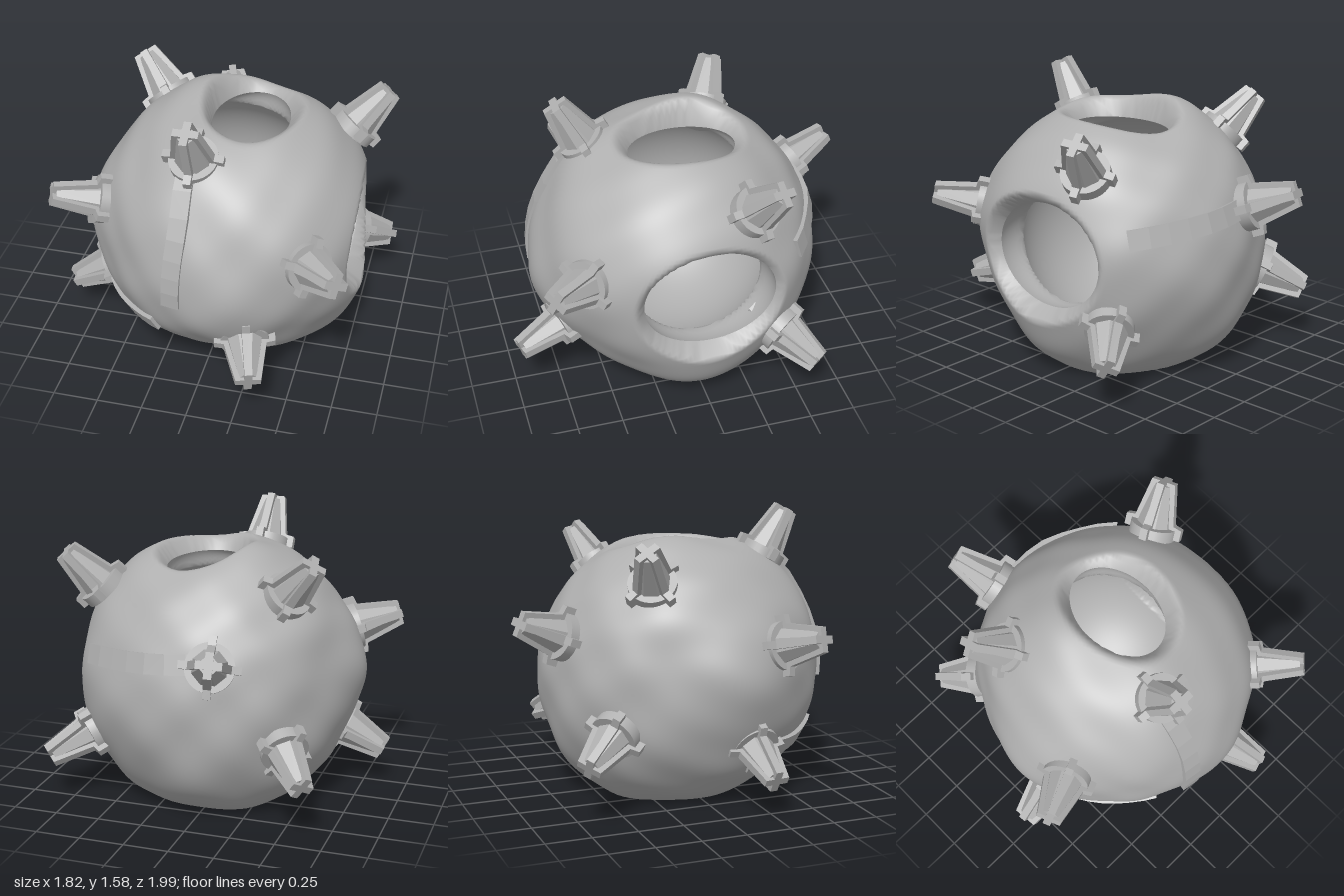
import * as THREE from 'three';
import { mergeVertices } from 'three/addons/utils/BufferGeometryUtils.js';

const V = (x, y, z) => new THREE.Vector3(x, y, z);
const CENTER = V(0, 0.68, 0.02);

// Broad swellings and hollows of the rocky ball: direction, height, sharpness
const BUMPS = [
  [V(1, 1, 0), 0.05, 6], [V(1, -1, 0), 0.09, 6], [V(0.1, -0.2, 1), 0.06, 12], [V(0, -1, -1), 0.05, 6],
  [V(1, 0.2, 1), 0.06, 7], [V(1, 0.1, -1), 0.04, 7], [V(0.15, 1, 0), -0.04, 8], [V(-1, 1, 0.3), -0.03, 7],
  [V(-0.25, 1, -0.2), 0.03, 20], [V(0.45, 1, -0.1), 0.02, 20], [V(0, 1, 1), 0.03, 7],
  [V(-0.7, 0.1, -0.7), -0.025, 7], [V(0.9, -0.4, 0.5), -0.02, 14], [V(1, 0, 0), 0.04, 4],
  [V(-1, -0.4, 0.1), -0.03, 12], [V(0, -0.8, 0.6), -0.03, 10], [V(-1, 0.1, -0.4), -0.04, 12], [V(-0.7, 0, 0.7), -0.02, 10],
  [V(-1, 0, 0.15), 0.035, 25],
].map(([d, h, k]) => [d.normalize(), h, k]);

// Oval openings: main axis, the two axes across it, rim plane, centre, half sizes and lip width
const HOLES = [
  { n: 'y', u: 'x', v: 'z', plane: 0.61, cu: 0.12, cv: -0.03, ru: 0.21, rv: 0.295, lip: 0.2 },
  { n: 'x', u: 'y', v: 'z', plane: 0.69, cu: 0.015, cv: -0.03, ru: 0.285, rv: 0.365, lip: 0.11 },
];

function holeValue(h, d) {
  if (d[h.n] < 0.05) return 99;
  const k = h.plane / d[h.n];
  return Math.hypot((d[h.u] * k - h.cu) / h.ru, (d[h.v] * k - h.cv) / h.rv);
}

// Slide a direction outwards onto the rim of an opening
function snapToRim(h, d) {
  const f = Math.max(holeValue(h, d), 1e-4), k = h.plane / d[h.n];
  const u = h.cu + (d[h.u] * k - h.cu) / f, v = h.cv + (d[h.v] * k - h.cv) / f;
  d[h.n] = h.plane; d[h.u] = u; d[h.v] = v;
  return d.normalize();
}

function surfaceRadius(d, inner) {
  let r = inner ? 0.62 : 0.77;
  if (!inner) {
    for (const [b, h, k] of BUMPS) r += h * Math.exp(k * (d.dot(b) - 1));
    r += 0.008 * Math.sin(7 * d.x + 3 * d.y) * Math.sin(6 * d.z - 4 * d.y + 1) + 0.005 * Math.sin(13 * d.y + 5 * d.z) * Math.cos(12 * d.x);
  }
  if (d.y < 0) r = Math.min(r, (inner ? 0.62 : 0.68) / -d.y); // flat underside
  for (const h of HOLES) { // rounded lip outside, straight flare inside
    const s = (holeValue(h, d) - 1) / (inner ? 0.3 : h.lip);
    if (s < 1) {
      const t = Math.max(s, 0), rim = h.plane / d[h.n];
      r = rim + (r - rim) * (inner ? t : Math.sqrt(1 - (1 - t) ** 2));
    }
  }
  return r;
}

// One closed shell with the openings cut out
function shellGeometry(inner) {
  let g = new THREE.IcosahedronGeometry(1, 44);
  g.deleteAttribute('normal'); g.deleteAttribute('uv');
  g = mergeVertices(g, 1e-5);
  const pos = g.attributes.position, dirs = [], hole = [];
  for (let i = 0; i < pos.count; i++) {
    const d = V().fromBufferAttribute(pos, i).normalize();
    dirs.push(d);
    hole.push(HOLES.find(h => holeValue(h, d) < 1));
  }
  const old = g.index.array, index = [];
  for (let i = 0; i < old.length; i += 3) {
    const [a, b, c] = [old[i], old[i + 1], old[i + 2]];
    if (hole[a] && hole[b] && hole[c]) continue;
    if (inner) index.push(a, c, b); else index.push(a, b, c);
  }
  dirs.forEach((d, i) => {
    if (hole[i]) snapToRim(hole[i], d);
    const p = d.clone().multiplyScalar(surfaceRadius(d, inner)).add(CENTER);
    pos.setXYZ(i, p.x, p.y, p.z);
  });
  g.setIndex(index);
  g.computeVertexNormals();
  return g;
}

// Raised band that follows the ball through a few points
function strapGeometry(points, width) {
  const curve = new THREE.CatmullRomCurve3(points), N = 7, verts = [], index = [];
  for (let i = 0; i <= N; i++) {
    const d = curve.getPoint(i / N).sub(CENTER).normalize();
    const side = curve.getTangent(i / N).cross(d).normalize();
    const r = surfaceRadius(d, false);
    for (const [s, h] of [[-1, -0.06], [-1, 0.02], [1, 0.02], [1, -0.06]]) {
      const p = d.clone().multiplyScalar(r + h).add(CENTER).addScaledVector(side, s * width / 2);
      verts.push(p.x, p.y, p.z);
    }
    if (i < N) for (let k = 0; k < 4; k++) {
      const a = i * 4 + k, b = i * 4 + (k + 1) % 4;
      index.push(a, b, a + 4, b, b + 4, a + 4);
    }
  }
  const e = N * 4;
  index.push(0, 2, 1, 0, 3, 2, e, e + 1, e + 2, e, e + 2, e + 3);
  let g = new THREE.BufferGeometry();
  g.setAttribute('position', new THREE.Float32BufferAttribute(verts, 3));
  g.setIndex(index);
  g = g.toNonIndexed();
  g.computeVertexNormals();
  return g;
}

export function createModel() {
  const model = new THREE.Group();
  model.name = 'spikedBall';
  const stone = new THREE.MeshStandardMaterial({ color: 0xb0b0b0 });
  stone.name = 'stone grey';
  stone.side = THREE.DoubleSide;
  const add = (parent, name, geo) => {
    const m = new THREE.Mesh(geo, stone);
    m.name = name;
    parent.add(m);
    return m;
  };

  add(model, 'outerShell', shellGeometry(false));
  add(model, 'innerShell', shellGeometry(true));

  // Shared spike pieces, pointing along +y from the collar
  const finShape = new THREE.Shape([
    [-0.165, -0.04], [0.165, -0.04], [0.165, 0.025], [0.115, 0.035], [0.068, 0.265],
    [-0.068, 0.265], [-0.115, 0.035], [-0.165, 0.025],
  ].map(([x, y]) => new THREE.Vector2(x, y)));
  const fin = new THREE.ExtrudeGeometry(finShape, { depth: 0.042, bevelEnabled: false }).translate(0, 0, -0.021);
  const collar = new THREE.CylinderGeometry(0.132, 0.132, 0.065, 32).translate(0, -0.02, 0);
  const core = new THREE.CylinderGeometry(0.048, 0.1, 0.24, 8).rotateY(Math.PI / 8).toNonIndexed().translate(0, 0.125, 0);
  core.computeVertexNormals();

  // Spikes: collar centre, tip, depth of the stem inside, roll
  const spikes = [
    ['topFrontSpike', V(-0.07, 1.32, 0.5), V(-0.075, 1.55, 0.635), 0.16, 0],
    ['upperLeftBackSpike', V(-0.43, 1.23, -0.3), V(-0.56, 1.38, -0.37), 0.16, 0.3],
    ['upperRightBackSpike', V(0.66, 1.19, -0.26), V(0.83, 1.39, -0.35), 0.16, 0.3],
    ['backSpike', V(-0.14, 0.93, -0.73), V(-0.22, 1.03, -0.98), 0.16, 0.2],
    ['lowerRightBackSpike', V(0.67, 0.37, -0.43), V(0.87, 0.25, -0.59), 0.2, 0.2],
    ['lowerLeftBackSpike', V(-0.49, 0.44, -0.54), V(-0.63, 0.33, -0.72), 0.45, 0.2],
    ['lowerLeftSpike', V(-0.63, 0.34, 0.21), V(-0.85, 0.22, 0.23), 0.16, 0.1],
    ['leftFrontSpike', V(-0.65, 0.89, 0.37), V(-0.88, 0.96, 0.48), 0.16, 0.3],
    ['rightFrontSpike', V(0.58, 0.84, 0.64), V(0.75, 0.89, 0.83), 0.16, 0.3],
    ['lowerFrontSpike', V(0.26, 0.36, 0.73), V(0.34, 0.28, 0.98), 0.16, 0.3],
  ];
  for (const [name, base, tip, depth, roll] of spikes) {
    const spike = new THREE.Group();
    spike.name = name;
    spike.position.copy(base);
    spike.quaternion.setFromUnitVectors(V(0, 1, 0), tip.clone().sub(base).normalize());
    spike.rotateY(roll);
    add(spike, 'collar', collar);
    add(spike, 'core', core);
    add(spike, 'fin', fin);
    add(spike, 'crossFin', fin).rotation.y = Math.PI / 2;
    const stem = new THREE.CylinderGeometry(0.1, 0.1, depth, 6).toNonIndexed().translate(0, -depth / 2, 0);
    stem.computeVertexNormals();
    add(spike, 'stem', stem);
    model.add(spike);
  }

  // Bands running from three of the spikes
  add(model, 'frontStrap', strapGeometry([V(-0.09, 1.28, 0.5), V(-0.1, 1.05, 0.75), V(-0.12, 0.8, 0.84), V(-0.13, 0.58, 0.86)], 0.1));
  add(model, 'backStrap', strapGeometry([V(-0.13, 0.94, -0.72), V(0.15, 0.93, -0.77), V(0.42, 0.9, -0.68), V(0.6, 0.86, -0.5)], 0.11));
  add(model, 'lowerStrap', strapGeometry([V(-0.62, 0.34, 0.24), V(-0.52, 0.31, 0.45), V(-0.4, 0.31, 0.6), V(-0.26, 0.33, 0.72)], 0.1));
  return model;
}
